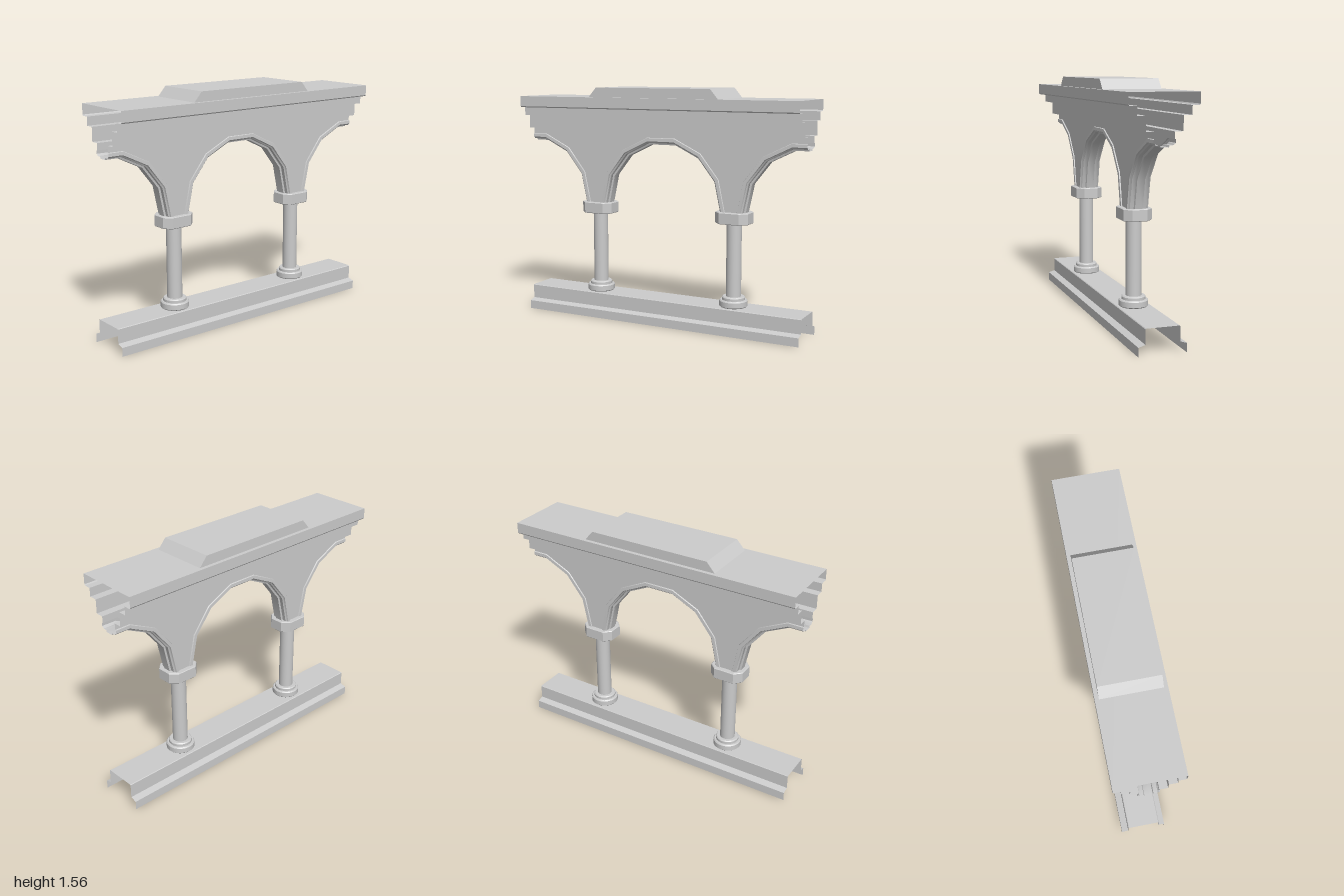
import * as THREE from 'three';
import { mergeGeometries } from 'three/addons/utils/BufferGeometryUtils.js';

const V = (x, y, z) => new THREE.Vector3(x, y, z);
const STEP = Math.PI / 7;      // arch is a seven-sided half ring
const CENTRE_Y = 0.79;         // springing height of the arches
const WALL_Z = 0.06;
const WALL_TOP = 1.28;
const CAPITAL_TOP = 0.78;

// Sweep an open profile through stations: one strip per profile edge, so
// profile corners stay sharp while the run along the path is smooth.
function sweep(profile, stations, place) {
  const strips = [];
  for (let i = 0; i < profile.length - 1; i++) {
    const pts = [], index = [];
    stations.forEach((s, k) => {
      pts.push(place(profile[i], s), place(profile[i + 1], s));
      if (k > 0) {
        const a = 2 * k - 2;
        index.push(a, a + 1, a + 2, a + 1, a + 3, a + 2);
      }
    });
    const g = new THREE.BufferGeometry().setFromPoints(pts);
    g.setIndex(index);
    g.computeVertexNormals();
    strips.push(g);
  }
  return mergeGeometries(strips);
}

// Complete a half profile [z, y] with its mirror image.
const mirrorProfile = (half) =>
  [...half, ...half.slice().reverse().map(([z, y]) => [-z, y])];

// Point on an arch of radius r; t counts facets from the crown (-3.5 to 3.5).
function archPoint(r, t) {
  if (t === 0) return [0, CENTRE_Y + r * Math.cos(STEP / 2)];
  if (Math.abs(t) === 3.5) return [Math.sign(t) * r, CAPITAL_TOP];
  return [r * Math.sin(t * STEP), CENTRE_Y + r * Math.cos(t * STEP)];
}

const RIGHT_HALF = [0, 0.5, 1.5, 2.5, 3.5];
const LEFT_HALF = [-3.5, -2.5, -1.5, -0.5, 0];
const FULL = [-3.5, -2.5, -1.5, -0.5, 0.5, 1.5, 2.5, 3.5];
const ARCHES = [[-1, RIGHT_HALF], [0, FULL], [1, LEFT_HALF]];

export function createModel() {
  const model = new THREE.Group();
  const solid = new THREE.MeshStandardMaterial({ color: 0xcccccc });
  const shell = new THREE.MeshStandardMaterial({ color: 0xcccccc, side: THREE.DoubleSide });
  const add = (name, geometry, material = solid, parent = model) => {
    const mesh = new THREE.Mesh(geometry, material);
    mesh.name = name;
    parent.add(mesh);
    return mesh;
  };
  const alongX = ([z, y], x) => V(x, y, z);

  // Hollow plinth, open at the ends and underneath
  add('plinth', sweep(mirrorProfile([
    [0.15, 0], [0.15, 0.057], [0.107, 0.07], [0.107, 0.161], [0.103, 0.165],
  ]), [-1, 1], alongX), shell);

  // Stepped cornice, open at the ends
  add('cornice', sweep(mirrorProfile([
    [WALL_Z, WALL_TOP], [0.112, WALL_TOP], [0.112, 1.37], [0.165, 1.37],
    [0.165, 1.425], [0.21, 1.425], [0.215, 1.432], [0.215, 1.5],
  ]), [-1, 1], alongX), shell);

  // Raised block with sloping ends
  const block = new THREE.Shape([[-0.468, 1.5], [0.464, 1.5], [0.41, 1.563], [-0.412, 1.563]]
    .map(([x, y]) => new THREE.Vector2(x, y)));
  add('topBlock', new THREE.ExtrudeGeometry(block, { depth: 0.38, bevelEnabled: false })
    .translate(0, 0, -0.19));

  // Spandrel walls cut out by the arches, front and back
  const outerRadius = 0.458;
  const outline = [[-1, WALL_TOP]];
  for (const [cx, stations] of ARCHES) {
    for (const t of stations) {
      const [x, y] = archPoint(outerRadius, t);
      outline.push([cx + x, y]);
    }
  }
  outline.push([1, WALL_TOP]);
  const wall = new THREE.Shape(outline.map(([x, y]) => new THREE.Vector2(x, y)));
  add('frontSpandrel', new THREE.ShapeGeometry(wall).translate(0, 0, WALL_Z), shell);
  add('backSpandrel', new THREE.ShapeGeometry(wall).translate(0, 0, -WALL_Z), shell);

  // Moulded arch rings: profile is [z, radius]
  const moulding = mirrorProfile([
    [WALL_Z, 0.46], [0.067, 0.457], [0.068, 0.436], [0.06, 0.432],
    [0.054, 0.424], [0.029, 0.424], [0.025, 0.412],
  ]);
  for (const [cx, stations] of ARCHES) {
    add('archMoulding', sweep(moulding, stations, ([z, r], t) => {
      const [x, y] = archPoint(r, t);
      return V(cx + x, y, z);
    }), shell);
  }

  // Columns with round bases and chamfered capitals
  const capital = new THREE.Shape([
    [-0.109, -0.046], [-0.067, -0.088], [0.067, -0.088], [0.109, -0.046],
    [0.109, 0.046], [0.067, 0.088], [-0.067, 0.088], [-0.109, 0.046],
  ].map(([x, y]) => new THREE.Vector2(x, y)));
  const capitalGeometry = new THREE.ExtrudeGeometry(capital, {
    depth: 0.067, bevelThickness: 0.004, bevelSize: 0.004, bevelSegments: 1,
  }).rotateX(-Math.PI / 2).translate(0, 0.714, 0);
  const baseProfile = [
    [0.086, 0.165], [0.092, 0.171], [0.092, 0.204], [0.086, 0.211],
    [0.075, 0.211], [0.075, 0.227], [0.069, 0.233], [0.048, 0.233],
  ];
  const baseGeometry = sweep(baseProfile, Array.from({ length: 33 }, (_, i) => -i * Math.PI / 16),
    ([r, y], a) => V(r * Math.cos(a), y, r * Math.sin(a)));
  for (const x of [-0.5, 0.5]) {
    const column = new THREE.Group();
    column.name = x > 0 ? 'leftColumn' : 'rightColumn';
    column.position.x = x;
    add('columnBase', baseGeometry, shell, column);
    add('columnShaft', new THREE.CylinderGeometry(0.049, 0.049, 0.49, 32, 1, true)
      .translate(0, 0.47, 0), solid, column);
    add('capital', capitalGeometry, solid, column);
    model.add(column);
  }
  return model;
}
